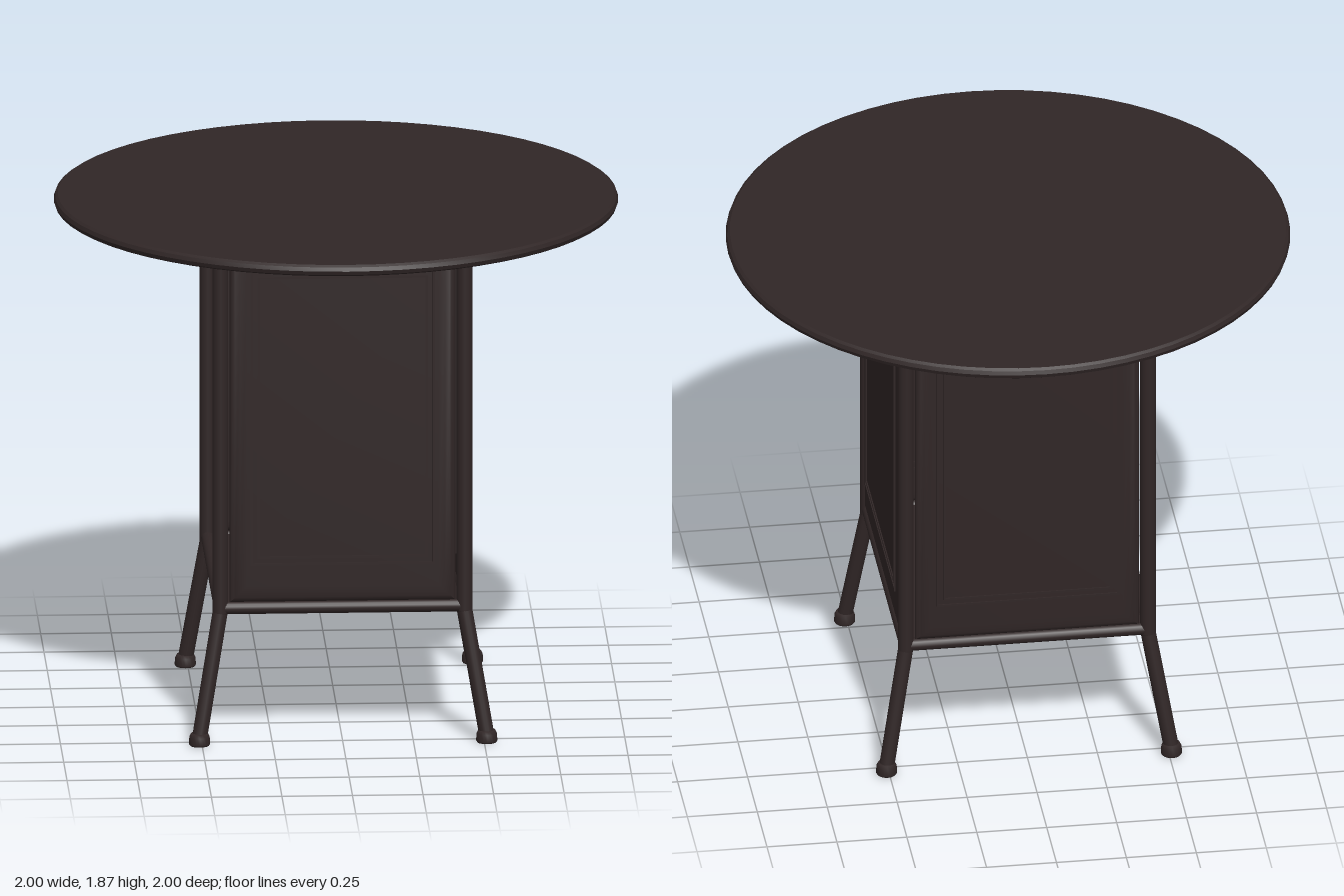
import * as THREE from 'three';
import { toCreasedNormals } from 'three/addons/utils/BufferGeometryUtils.js';

const wood = new THREE.MeshStandardMaterial({ color: 0x302626 });
wood.name = 'dark wood';

function add(parent, name, geometry) {
  const mesh = new THREE.Mesh(geometry, wood);
  mesh.name = name;
  parent.add(mesh);
  return mesh;
}

// Round bar between two points
function rod(parent, name, a, b, r) {
  const from = new THREE.Vector3(...a), to = new THREE.Vector3(...b);
  const dir = to.clone().sub(from);
  const mesh = add(parent, name, new THREE.CylinderGeometry(r, r, dir.length(), 16));
  mesh.position.copy(from).add(to).multiplyScalar(0.5);
  mesh.quaternion.setFromUnitVectors(new THREE.Vector3(0, 1, 0), dir.normalize());
  return mesh;
}

function rectangle(target, w, h) {
  target.moveTo(-w, -h);
  target.lineTo(w, -h);
  target.lineTo(w, h);
  target.lineTo(-w, h);
  target.closePath();
  return target;
}

// Raised panel with sloping borders and a thin moulding on both faces
function makePanel(name, halfWidth) {
  const panel = new THREE.Group();
  panel.name = name;
  const halfHeight = 0.657, slope = 0.06;
  const core = rectangle(new THREE.Shape(), halfWidth - slope, halfHeight - slope);
  const board = new THREE.ExtrudeGeometry(core, {
    depth: 0.006, bevelEnabled: true, bevelSize: slope, bevelThickness: 0.019, bevelSegments: 4,
  }).translate(0, 0, -0.003);
  add(panel, 'panelBoard', toCreasedNormals(board, 0.6));
  for (const [inset, width] of [[0.073, 0.008], [0.098, 0.008]]) {
    const w = halfWidth - inset, h = 0.541 - (inset - 0.073);
    const frame = rectangle(new THREE.Shape(), w, h);
    frame.holes.push(rectangle(new THREE.Path(), w - width, h - width));
    const strip = new THREE.ExtrudeGeometry(frame, { depth: 0.053, bevelEnabled: false });
    add(panel, 'panelMoulding', strip.translate(0, 0.022, -0.0265));
  }
  panel.position.y = 1.167;
  return panel;
}

export function createModel() {
  const table = new THREE.Group();
  table.name = 'roundCabinetTable';
  const px = 0.433, pz = 0.487, joint = 0.475;

  // Round top with a softened rim
  const rim = [[0, 1.833], [0.985, 1.833], [0.995, 1.839], [1, 1.853], [0.995, 1.867], [0.985, 1.874], [0, 1.874]];
  const top = new THREE.LatheGeometry(rim.map(p => new THREE.Vector2(...p)), 64);
  add(table, 'tableTop', toCreasedNormals(top, 0.6));

  // Corner posts, splayed legs and feet
  const footProfile = [[0, 0], [0.034, 0], [0.038, 0.006], [0.036, 0.032], [0.03, 0.044], [0, 0.046]]
    .map(p => new THREE.Vector2(...p));
  for (const sx of [-1, 1]) {
    for (const sz of [-1, 1]) {
      const x = px * sx, z = pz * sz;
      rod(table, 'cornerPost', [x, joint, z], [x, 1.835, z], 0.028);
      add(table, 'legJoint', new THREE.SphereGeometry(0.028, 16, 10)).position.set(x, joint, z);
      rod(table, 'leg', [x, joint, z], [0.509 * sx, 0.025, 0.541 * sz], 0.027);
      add(table, 'foot', new THREE.LatheGeometry(footProfile, 20)).position.set(0.509 * sx, 0, 0.541 * sz);
    }
  }

  // Bottom rails and cabinet floor
  for (const s of [-1, 1]) {
    rod(table, 'crossRail', [-px, 0.488, pz * s], [px, 0.488, pz * s], 0.023);
    rod(table, 'sideRail', [px * s, 0.488, -pz], [px * s, 0.488, pz], 0.023);
  }
  add(table, 'cabinetFloor', new THREE.BoxGeometry(px * 2, 0.024, pz * 2)).position.y = 0.488;

  // Front, back and one side are closed; the other side is open
  const front = makePanel('frontPanel', 0.4);
  front.position.z = pz;
  const back = makePanel('backPanel', 0.4);
  back.position.z = -pz;
  const side = makePanel('sidePanel', 0.455);
  side.position.x = px;
  side.rotation.y = Math.PI / 2;
  table.add(front, back, side);

  // Bearers under the top, with clipped corners and bevelled lower edges
  const w = 0.053, l = 0.558, c = 0.025;
  const plan = new THREE.Shape([
    [-w, -l + c], [-w + c, -l], [w - c, -l], [w, -l + c], [w, l - c], [w - c, l], [-w + c, l], [-w, l - c],
  ].map(p => new THREE.Vector2(...p)));
  for (const s of [-1, 1]) {
    const geometry = new THREE.ExtrudeGeometry(plan, {
      depth: 0.026, bevelEnabled: true, bevelSize: 0.012, bevelThickness: 0.012, bevelSegments: 2,
    }).rotateX(-Math.PI / 2);
    add(table, 'topBearer', geometry).position.set(0.555 * s, 1.798, 0);
  }
  return table;
}
